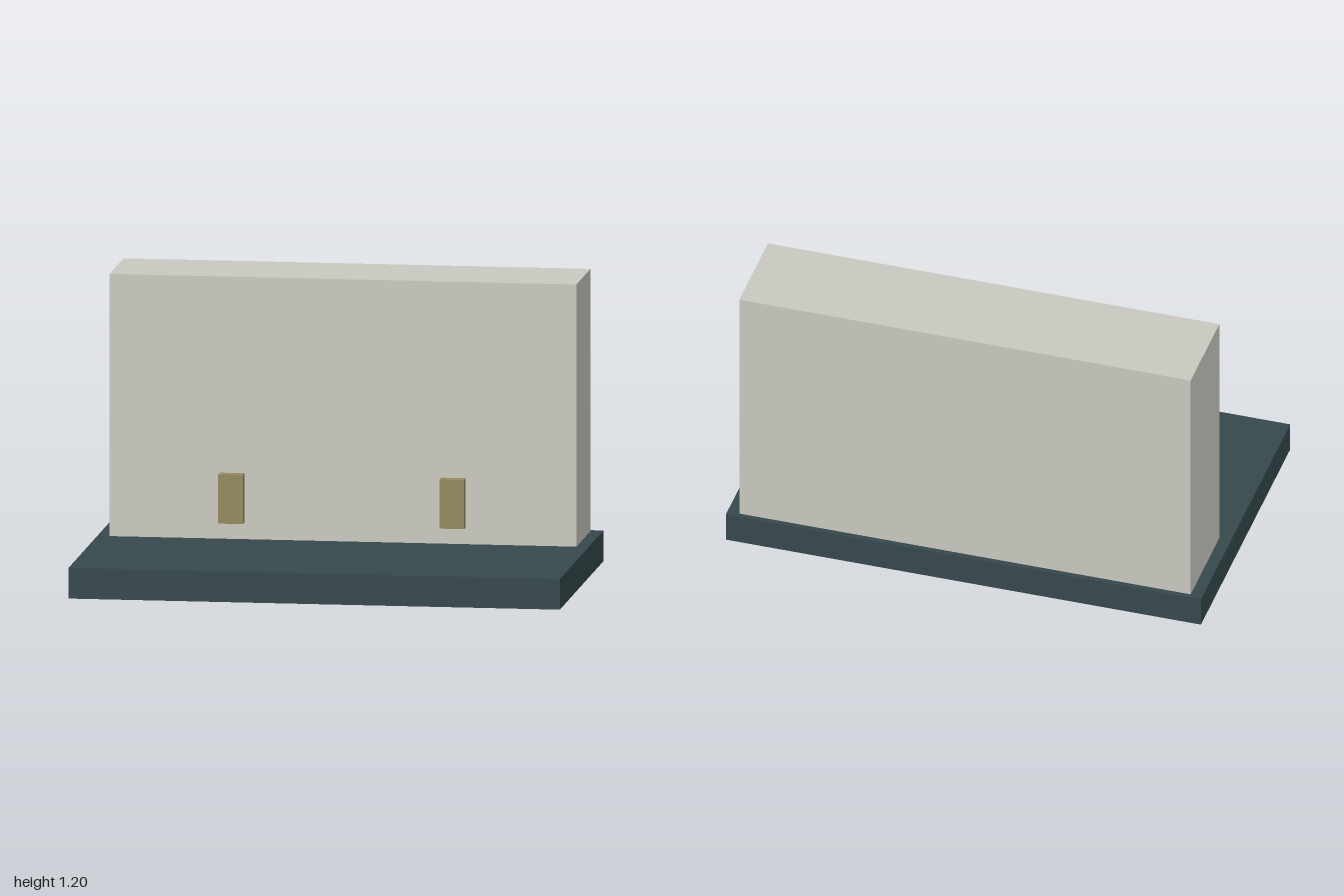
import * as THREE from 'three';

// Box given by its size and centre
function addBox(parent, name, color, size, centre) {
  const mesh = new THREE.Mesh(
    new THREE.BoxGeometry(...size),
    new THREE.MeshStandardMaterial({ color })
  );
  mesh.name = name;
  mesh.position.set(...centre);
  parent.add(mesh);
}

export function createModel() {
  const model = new THREE.Group();
  model.name = 'wallOnBase';

  // Base slab, its underside just above the wall's
  addBox(model, 'base', 0x36494d, [2, 0.125, 1.245], [0, 0.0675, 0]);

  // Upright wall, passing through the base near its back edge
  addBox(model, 'wall', 0xcbcac2, [1.9, 1.2, 0.4], [0, 0.6, -0.4]);

  // Pair of small blocks just in front of the wall
  for (const side of [-1, 1]) {
    addBox(model, side > 0 ? 'leftBlock' : 'rightBlock', 0x978a60,
      [0.1, 0.2, 0.05], [side * 0.45, 0.3, -0.17]);
  }

  return model;
}
